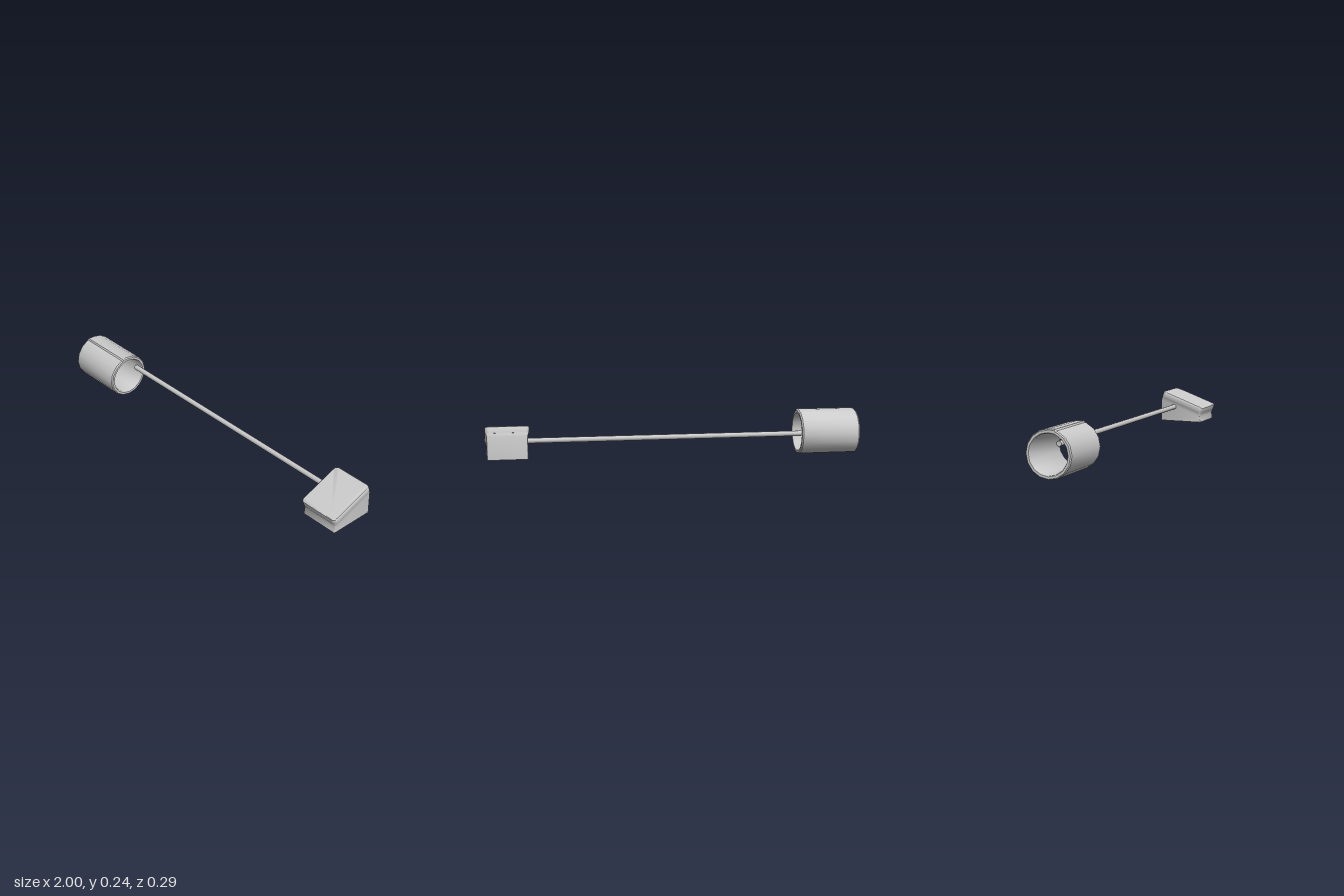
import * as THREE from 'three';
import { toCreasedNormals } from 'three/addons/utils/BufferGeometryUtils.js';

const grey = () => new THREE.MeshStandardMaterial({ color: 0xcccccc });

// Skin a row of equal-length rings; either capped at both ends or closed on itself.
function loft(rings, closed) {
  const n = rings[0].length;
  const pos = rings.flat().flatMap(p => [p.x, p.y, p.z]);
  const index = [];
  const last = closed ? rings.length : rings.length - 1;
  for (let r = 0; r < last; r++) {
    const a = r * n, b = ((r + 1) % rings.length) * n;
    for (let i = 0; i < n; i++) {
      const j = (i + 1) % n;
      index.push(a + i, a + j, b + j, a + i, b + j, b + i);
    }
  }
  if (!closed) {
    const top = (rings.length - 1) * n;
    for (let i = 1; i < n - 1; i++) {
      index.push(0, i + 1, i, top, top + i, top + i + 1);
    }
  }
  const geo = new THREE.BufferGeometry();
  geo.setAttribute('position', new THREE.Float32BufferAttribute(pos, 3));
  geo.setIndex(index);
  return toCreasedNormals(geo, 0.6);
}

// Rounded rectangle as [x, z] pairs, running from +z towards +x.
function roundedRect(hx, hz, r, seg = 4) {
  const pts = [];
  [[1, 1], [1, -1], [-1, -1], [-1, 1]].forEach(([sx, sz], k) => {
    for (let i = 0; i <= seg; i++) {
      const a = (k + i / seg) * Math.PI / 2;
      pts.push([sx * (hx - r) + r * Math.sin(a), sz * (hz - r) + r * Math.cos(a)]);
    }
  });
  return pts;
}

// Hollow sleeve with a small raised seam along its top
function createSleeve() {
  const outline = [];
  for (let i = 0; i < 16; i++) {
    outline.push([i * 22.5, 0.12]);
    if (i === 0) outline.push([16, 0.125], [19.5, 0.119]);
  }
  const ring = (x, radius) => outline.map(([deg, r]) => {
    const t = THREE.MathUtils.degToRad(deg), q = radius(r);
    return new THREE.Vector3(x, 0.12 + q * Math.cos(t), 0.025 + q * Math.sin(t));
  });
  const outer = r => r, lip = r => r - 0.005, rim = () => 0.103, bore = () => 0.099;
  return loft([
    ring(-1, lip), ring(-0.993, outer), ring(-0.687, outer), ring(-0.68, lip),
    ring(-0.68, rim), ring(-0.688, bore), ring(-0.992, bore), ring(-1, rim),
  ], true);
}

// Wedge block whose sides flare into a tilted, rounded lid
function createWedge() {
  const cx = 0.886, tilt = THREE.MathUtils.degToRad(20);
  const c = Math.cos(tilt), s = Math.sin(tilt);
  const flat = (y, hx, hz, r) => roundedRect(hx, hz, r)
    .map(([x, z]) => new THREE.Vector3(cx + x, y, z - 0.018));
  const tilted = (v, hx, hu, r) => roundedRect(hx, hu, r)
    .map(([x, u]) => new THREE.Vector3(cx + x, 0.17 - u * s + v * c, -0.0025 + u * c + v * s));
  return {
    base: loft([
      flat(0.042, 0.105, 0.123, 0.006),
      tilted(-0.052, 0.105, 0.129, 0.008),
      tilted(-0.04, 0.108, 0.129, 0.012),
      tilted(-0.03, 0.112, 0.129, 0.018),
    ]),
    lid: loft([
      tilted(-0.035, 0.11, 0.1305, 0.02),
      tilted(-0.029, 0.113, 0.1315, 0.022),
      tilted(-0.006, 0.114, 0.1315, 0.022),
      tilted(-0.002, 0.1125, 0.1305, 0.021),
      tilted(0, 0.11, 0.128, 0.02),
    ]),
  };
}

export function createModel() {
  const model = new THREE.Group();
  model.name = 'leverWithSleeve';
  const add = (name, geo) => {
    const mesh = new THREE.Mesh(geo, grey());
    mesh.name = name;
    model.add(mesh);
    return mesh;
  };

  add('sleeve', createSleeve());

  // Rod from just inside the sleeve into the block
  const x0 = -0.72, x1 = 0.8;
  const rod = add('rod', new THREE.CylinderGeometry(0.014, 0.014, x1 - x0, 10));
  rod.rotation.z = -Math.PI / 2;
  rod.position.set((x0 + x1) / 2, 0.125, -0.06);

  const wedge = createWedge();
  add('blockBase', wedge.base);
  add('blockLid', wedge.lid);
  return model;
}
